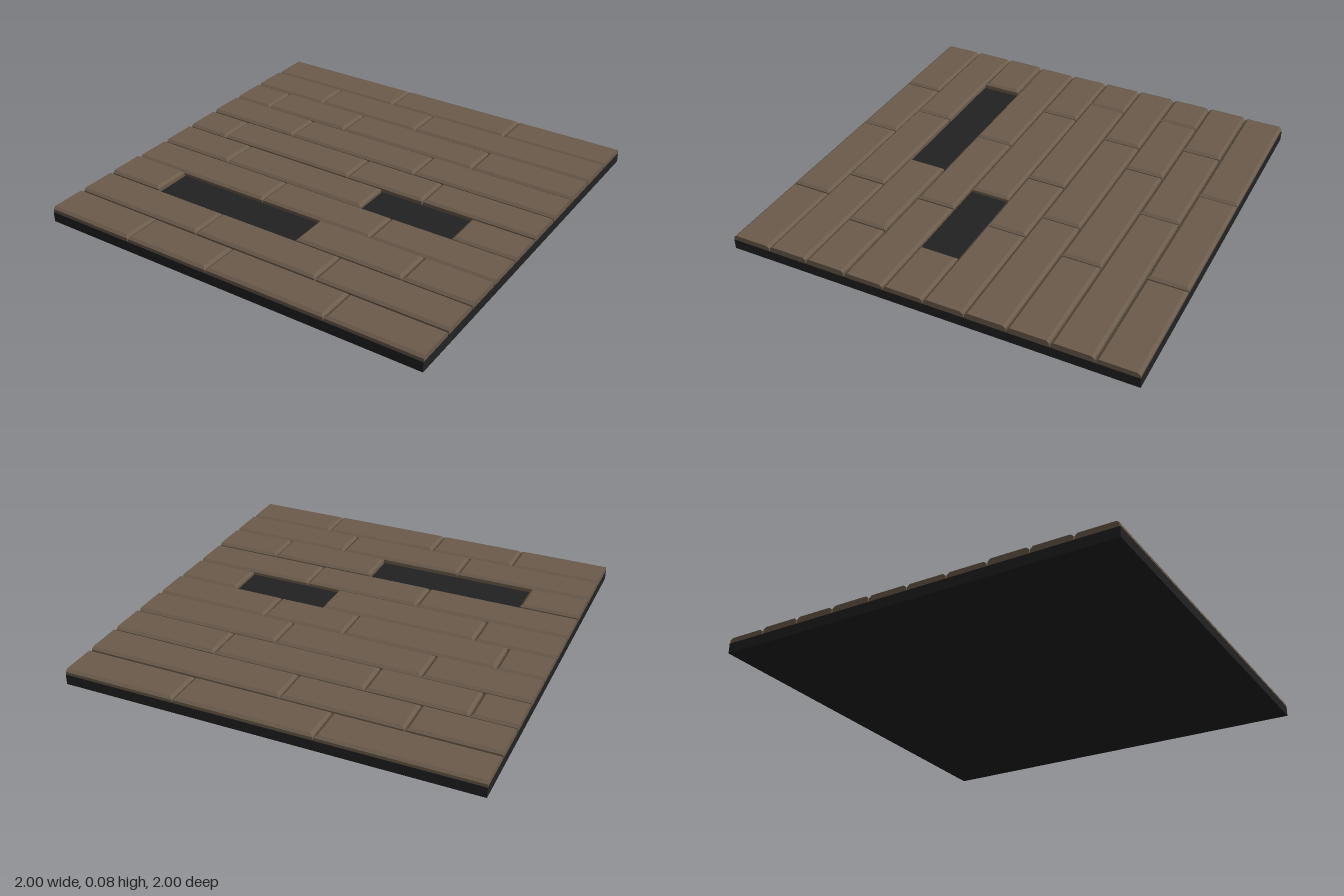
import * as THREE from 'three';

const BASE = 0.05, ROW = 0.2, GAP = 0.006, BEVEL = 0.013;

// Joint positions along x for each row, with the plank missing from it (if any)
const rows = [
  { joints: [-0.24, 0.44], top: 0.075 },
  { joints: [-0.57, 0.02], top: 0.079 },
  { joints: [-0.785, -0.295, 0.465], top: 0.08 },
  { joints: [-0.487, 0.25], top: 0.08 },
  { joints: [-0.772, -0.01, 0.415], top: 0.078 },
  { joints: [-0.6, 0.195, 0.68], top: 0.075, missing: 2 },
  { joints: [-0.23, 0.37], top: 0.075 },
  { joints: [-0.703, 0.105, 0.66], top: 0.08, missing: 1 },
  { joints: [-0.305, 0.35], top: 0.079 },
  { joints: [-0.535, -0.087, 0.53], top: 0.076 },
];

// Box whose top edges are bevelled, except where the plank is sawn off at the floor's side
function plankGeometry(x0, x1, z0, z1, top) {
  const geo = new THREE.BoxGeometry(1, 1, 1, 1, 2, 1);
  const p = geo.attributes.position;
  for (let i = 0; i < p.count; i++) {
    const level = Math.round((p.getY(i) + 0.5) * 2);
    const inset = level === 2 ? BEVEL : 0;
    const left = x0 + (x0 > -1 ? inset : 0), right = x1 - (x1 < 1 ? inset : 0);
    p.setXYZ(i,
      p.getX(i) < 0 ? left : right,
      [BASE, top - 0.011, top][level],
      p.getZ(i) < 0 ? z0 + inset : z1 - inset);
  }
  const flat = geo.toNonIndexed();
  flat.computeVertexNormals();
  return flat;
}

export function createModel() {
  const model = new THREE.Group();
  model.name = 'plankFloor';
  const wood = new THREE.MeshStandardMaterial({ color: 0x6b5b4b });
  wood.name = 'brown wood';
  const dark = new THREE.MeshStandardMaterial({ color: 0x222222 });
  dark.name = 'dark base';

  // Base slab, seen through the gaps
  const base = new THREE.Mesh(new THREE.BoxGeometry(2, BASE, 2), dark);
  base.name = 'baseSlab';
  base.position.y = BASE / 2;
  model.add(base);

  // Rows of staggered planks
  rows.forEach(({ joints, top, missing }, r) => {
    const row = new THREE.Group();
    row.name = `plankRow${r + 1}`;
    const ends = [-1, ...joints, 1];
    const z = -1 + r * ROW;
    for (let i = 0; i < ends.length - 1; i++) {
      if (i === missing) continue;
      const x0 = ends[i] + (i > 0 ? GAP / 2 : 0);
      const x1 = ends[i + 1] - (i < ends.length - 2 ? GAP / 2 : 0);
      const height = top + ((r + i) % 2) * 0.001;
      const plank = new THREE.Mesh(plankGeometry(x0, x1, z + GAP / 2, z + ROW - GAP / 2, height), wood);
      plank.name = `plank${i + 1}`;
      row.add(plank);
    }
    model.add(row);
  });
  return model;
}
